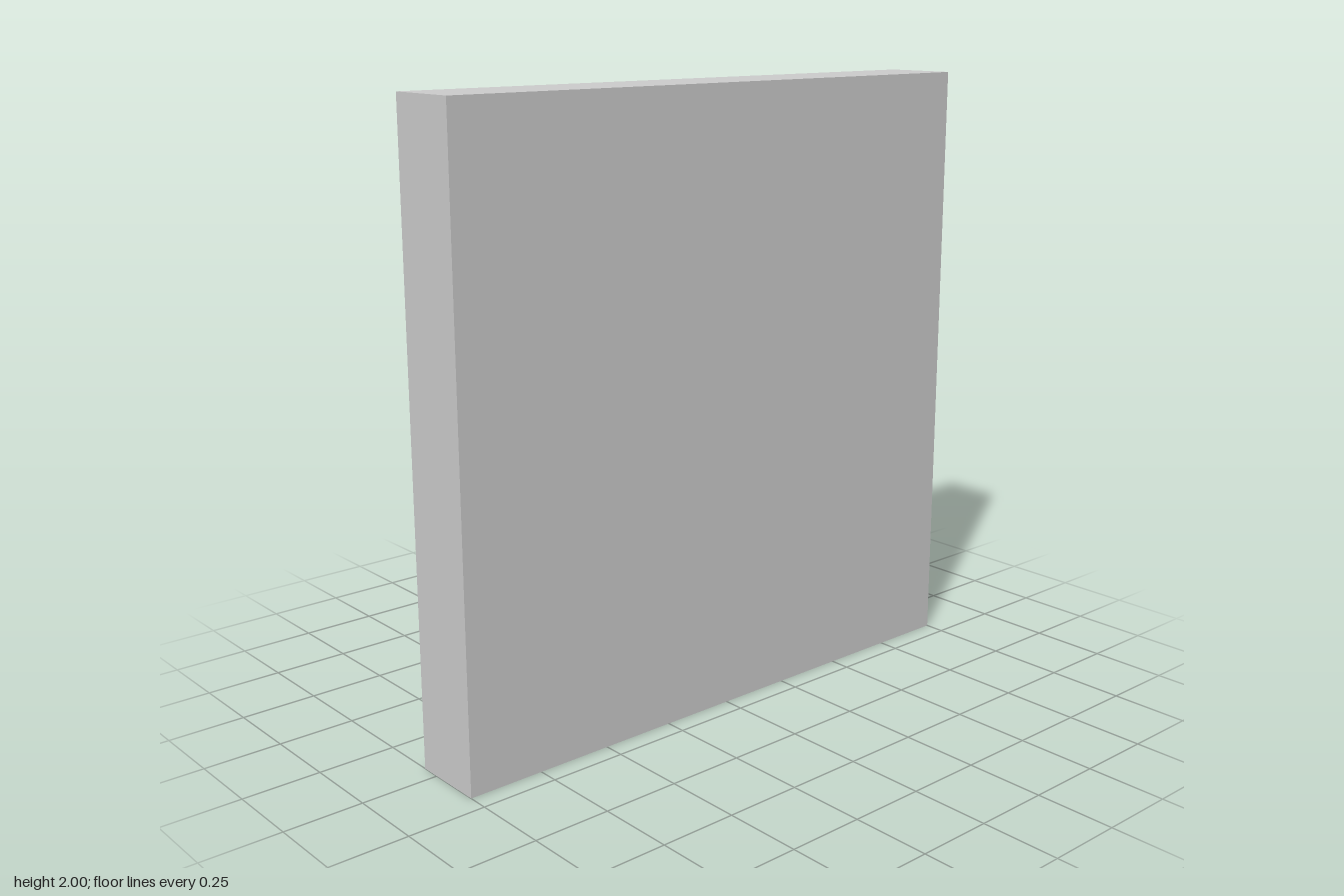
import * as THREE from 'three';

const SIDES = 32;
const PLATE_FACE = -0.064;

export function createModel() {
  const model = new THREE.Group();
  const material = new THREE.MeshStandardMaterial({ color: 0xcccccc, flatShading: true });

  const add = (name, geometry) => {
    const mesh = new THREE.Mesh(geometry, material);
    mesh.name = name;
    model.add(mesh);
    return mesh;
  };

  // Turned parts stand on the plate and point towards -x; profile is [radius, height]
  const addTurned = (name, profile) => {
    const points = profile.map(([r, h]) => new THREE.Vector2(r, h));
    const mesh = add(name, new THREE.LatheGeometry(points, SIDES));
    mesh.rotation.z = Math.PI / 2;
    mesh.position.set(PLATE_FACE, 1, 0);
  };

  // Square backing plate
  const thickness = 0.183 - PLATE_FACE;
  add('plate', new THREE.BoxGeometry(thickness, 2, 2))
    .position.set(PLATE_FACE + thickness / 2, 1, 0);

  // Bevelled ring with an open centre
  addTurned('bevelledRing', [[0.75, 0], [0.75, 0.056], [0.55, 0.105], [0.55, 0]]);

  // Round button, separated from the ring by a groove
  addTurned('button', [[0.5, 0], [0.5, 0.119], [0, 0.119]]);

  return model;
}
